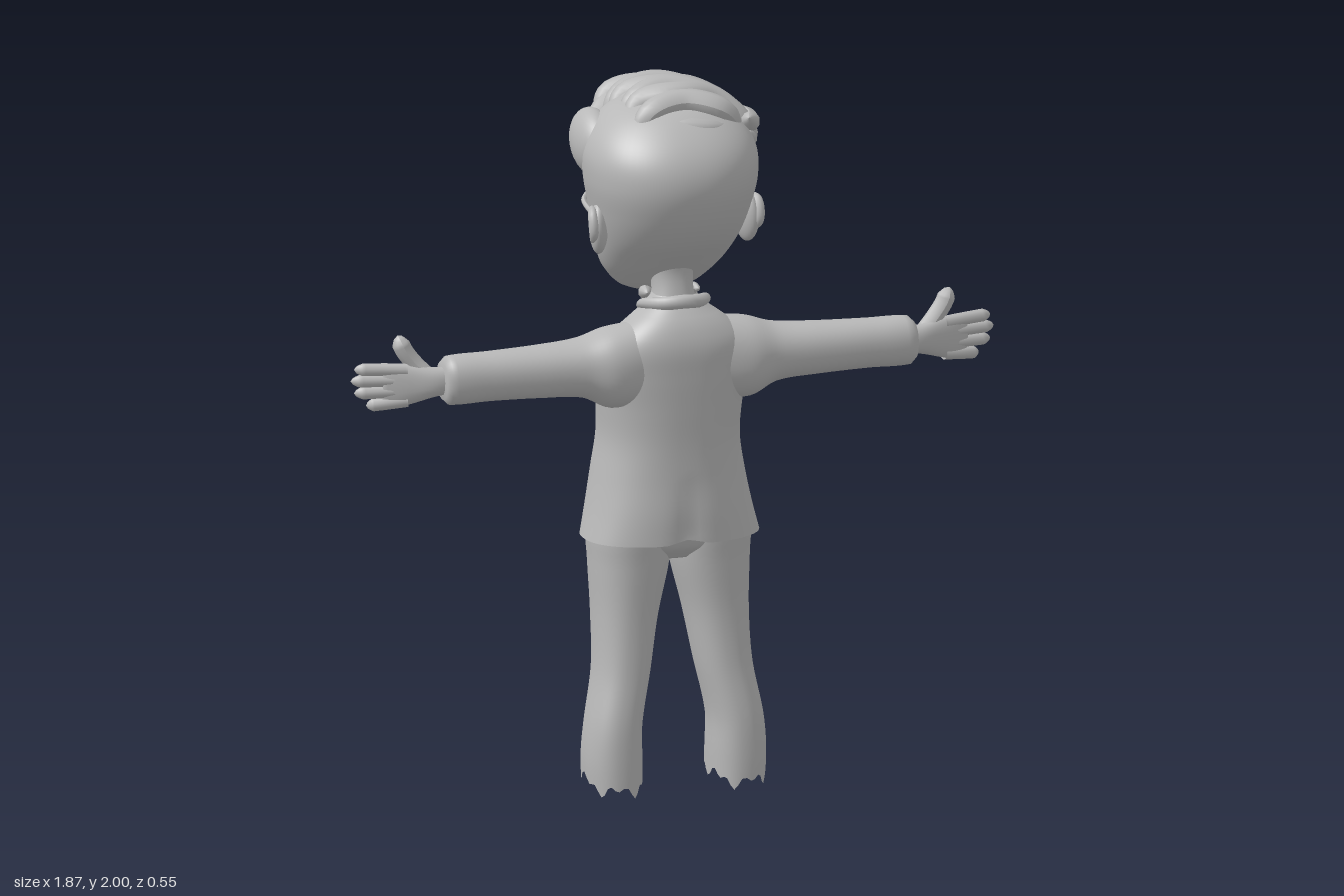
import * as THREE from 'three';

const grey = new THREE.MeshStandardMaterial({ color: 0xb8b8b8, side: THREE.DoubleSide });
grey.name = 'plain grey';

const V = (x, y, z) => new THREE.Vector3(x, y, z);
const bump = (d, w) => Math.exp(-(d * d) / (w * w));

// Smoothly interpolated cross-section bounds [a0, a1, b0, b1] at position t along the rows
function bounds(rows, t) {
  let i = 0;
  while (i < rows.length - 2 && t > rows[i + 1][0]) i++;
  const A = rows[i], B = rows[i + 1], h = B[0] - A[0];
  const u = THREE.MathUtils.clamp((t - A[0]) / h, 0, 1);
  const slope = (k, c) => {
    const p = rows[Math.max(k - 1, 0)], q = rows[Math.min(k + 1, rows.length - 1)];
    return (q[c] - p[c]) / (q[0] - p[0]) * h;
  };
  return [1, 2, 3, 4].map(c => {
    const u2 = u * u, u3 = u2 * u;
    return A[c] * (2 * u3 - 3 * u2 + 1) + slope(i, c) * (u3 - 2 * u2 + u)
      + B[c] * (3 * u2 - 2 * u3) + slope(i + 1, c) * (u3 - u2);
  });
}

// Surface through a grid of points; closed rows wrap round, caps fill the two ends
function skin(grid, closed = true, caps = []) {
  const n = grid[0].length, pos = [], idx = [];
  grid.flat().forEach(p => pos.push(p.x, p.y, p.z));
  for (let i = 0; i < grid.length - 1; i++)
    for (let j = 0; j < (closed ? n : n - 1); j++) {
      const a = i * n + j, b = i * n + (j + 1) % n;
      idx.push(a, a + n, b, b, a + n, b + n);
    }
  caps.forEach(end => {
    const r = end ? grid.length - 1 : 0, c = V(0, 0, 0), k = pos.length / 3;
    grid[r].forEach(p => c.addScaledVector(p, 1 / n));
    pos.push(c.x, c.y, c.z);
    for (let j = 0; j < n; j++) {
      const a = r * n + j, b = r * n + (j + 1) % n;
      idx.push(...(end ? [k, b, a] : [k, a, b]));
    }
  });
  if (closed) { // turn faces outward
    let vol = 0;
    const P = i => V(pos[3 * i], pos[3 * i + 1], pos[3 * i + 2]);
    for (let i = 0; i < idx.length; i += 3) vol += P(idx[i]).sub(P(0)).dot(P(idx[i + 1]).sub(P(0)).cross(P(idx[i + 2]).sub(P(0))));
    if (vol < 0) idx.reverse();
  }
  const g = new THREE.BufferGeometry();
  g.setAttribute('position', new THREE.Float32BufferAttribute(pos, 3));
  g.setIndex(idx);
  g.computeVertexNormals();
  return g;
}

const sp = (v, p) => Math.sign(v) * Math.abs(v) ** (2 / p);

// Loft of rounded sections; start(angle) shapes the first edge, rule(point) moves vertices
function loft(rows, { alongX = 0, n = 48, seg = 40, p = 2.2, start, rule, caps = [] } = {}) {
  const t0 = rows[0][0], t1 = rows[rows.length - 1][0], grid = [];
  for (let i = 0; i <= seg; i++) {
    grid.push(Array.from({ length: n }, (_, j) => {
      const a = j / n * Math.PI * 2, s = start ? start(a) : t0, t = s + (t1 - s) * i / seg;
      const [a0, a1, b0, b1] = bounds(rows, t);
      const A = (a0 + a1) / 2 + (a1 - a0) / 2 * sp(Math.cos(a), p);
      const B = (b0 + b1) / 2 + (b1 - b0) / 2 * sp(Math.sin(a), p);
      const v = alongX ? V(alongX * t, A, B) : V(A, t, B);
      if (rule) rule(v);
      return v;
    }));
  }
  return skin(grid, true, caps);
}

// Tube whose radius follows a profile along its length
function strand(pts, r, { profile = u => Math.sqrt(Math.sin(Math.PI * u) + 1e-4), closed = false, flat = 1, sides = 10, seg = 24 } = {}) {
  const curve = new THREE.CatmullRomCurve3(pts.map(q => V(...q)), closed);
  const g = new THREE.TubeGeometry(curve, seg, r, sides, closed), P = g.attributes.position;
  for (let i = 0; i <= seg; i++) {
    const c = curve.getPointAt(i / seg), k = closed ? 1 : profile(i / seg);
    for (let j = 0; j <= sides; j++) {
      const m = i * (sides + 1) + j, v = V(0, 0, 0).fromBufferAttribute(P, m).sub(c).multiplyScalar(k);
      v.y *= flat;
      v.add(c);
      P.setXYZ(m, v.x, v.y, v.z);
    }
  }
  g.computeVertexNormals();
  return g;
}
const finger = u => Math.min(1, Math.sqrt(Math.max(0, 1 - u) * 6 + 1e-4));
const even = () => 1;

export function createModel() {
  const root = new THREE.Group();
  root.name = 'standingFigure';
  const add = (name, g) => {
    const m = new THREE.Mesh(g, grey);
    m.name = name;
    root.add(m);
    return m;
  };
  const ball = (name, x, y, z, rx, ry, rz) => {
    const m = add(name, new THREE.SphereGeometry(1, 28, 20));
    m.position.set(x, y, z);
    m.scale.set(rx, ry, rz);
    return m;
  };

  // Jacket, cut away at the front hem
  const torso = [[0.72, -.25, .25, -.14, .195], [0.8, -.23, .23, -.16, .195], [0.9, -.21, .21, -.17, .19],
    [1, -.195, .195, -.165, .19], [1.1, -.2, .2, -.145, .195], [1.2, -.21, .21, -.1, .2],
    [1.28, -.2, .2, -.05, .2], [1.34, -.14, .14, -.01, .18], [1.38, -.085, .085, 0, .15], [1.41, -.06, .06, .01, .125]];
  add('jacket', loft(torso, {
    n: 72, p: 2.4,
    start: a => 0.72 + (Math.sin(a) < 0 ? 0.13 * bump(Math.cos(a), .32) : 0.012 * bump(Math.cos(a), .12)),
    rule: v => { if (v.z > .1) v.z -= .012 * bump(v.x, .03) * THREE.MathUtils.clamp((.92 - v.y) * 6, 0, 1); },
  }));
  const frontZ = (x, y) => {
    const [, a1, b0, b1] = bounds(torso, y);
    return (b0 + b1) / 2 - (b1 - b0) / 2 * Math.max(0, 1 - Math.abs(x / a1) ** 2.4) ** (1 / 2.4);
  };
  // Thin panel lying on the chest between two edge lines
  const panel = (name, y0, y1, inner, outer, lift) => add(name, skin(Array.from({ length: 17 }, (_, i) => {
    const u = i / 16, y = y0 + (y1 - y0) * u;
    return Array.from({ length: 7 }, (_, j) => {
      const x = inner(u) + (outer(u) - inner(u)) * j / 6;
      return V(x, y, frontZ(x, y) - lift * (j === 0 || j === 6 ? .4 : 1));
    });
  }), false));
  panel('shirtFront', 1, 1.37, u => -.075 * u, u => .075 * u, .004);
  panel('tie', 1.02, 1.31, u => -.03 + .016 * u, u => .03 - .016 * u, .014);
  ball('tieKnot', 0, 1.325, -.035, .022, .024, .018);
  for (const s of [1, -1]) {
    panel('lapel', .97, 1.36, u => s * (.004 + .066 * u), u => s * (.01 + .11 * Math.sin(Math.min(1, u * 1.25) * 1.57) - .035 * u * u), .012);
    add('lapelEdge', strand([0, .25, .5, .75, 1].map(u => {
      const x = s * (.004 + .066 * u), y = .97 + .39 * u;
      return [x, y, frontZ(x, y) - .008];
    }), .009));
    add('shirtCollar', strand([[s * .075, 1.41, .06], [s * .065, 1.4, .01], [s * .035, 1.365, -.025], [s * .045, 1.335, -.04]], .02));
    add('pocketFlap', strand([.09, .13, .17].map(x => [s * x, .86 + x * .1, frontZ(x, .87) - .002]), .013));
  }
  add('jacketCollar', strand([[-.085, 1.36, .01], [-.09, 1.385, .07], [-.05, 1.395, .13], [0, 1.4, .145],
    [.05, 1.395, .13], [.09, 1.385, .07], [.085, 1.36, .01]], .02));
  ball('button', 0, .93, frontZ(0, .93) - .004, .012, .012, .007);

  // Trousers
  add('trouserSeat', loft([[.66, -.1, .1, -.06, .1], [.7, -.19, .19, -.1, .14], [.78, -.21, .21, -.13, .16], [.92, -.19, .19, -.14, .16]], { caps: [0, 1] }));
  const leg = [[0, .1, .255, -.045, .165], [.1, .1, .26, -.042, .165], [.2, .1, .252, -.035, .16], [.35, .07, .226, -.05, .142],
    [.5, .043, .221, -.08, .135], [.65, .008, .226, -.105, .142], [.75, 0, .228, -.12, .15], [.88, .01, .19, -.12, .14]];
  for (const s of [1, -1]) {
    const rows = leg.map(([y, i, o, f, b]) => [y, Math.min(s * i, s * o), Math.max(s * i, s * o), f, b]);
    // Ragged open hem
    add('trouserLeg', loft(rows, {
      p: 2.3, caps: [1],
      start: a => .045 - .022 * Math.sin(a) + .012 * Math.sin(5 * a + s) + .011 * Math.sin(11 * a + 2 * s),
    }));
    const plug = ball('hemLining', s * .178, .1, .06, .07, .03, .092);
    plug.rotation.x = .2;
    for (let k = 0; k < 4; k++) {
      const q = k * 1.6;
      add('hemScrap', strand([0, 1.1, 2.2, 3.3].map((d, i) => [s * .178 + .055 * Math.cos(q + d), .06 + .015 * (i % 2), .06 + .08 * Math.sin(q + d)]), .01));
    }
  }

  // Sleeves and hands
  for (const s of [1, -1]) {
    add('sleeve', loft([[.08, 1.12, 1.345, .02, .175], [.2, 1.105, 1.33, -.01, .188], [.28, 1.14, 1.305, 0, .172], [.4, 1.15, 1.296, .015, .165],
      [.55, 1.155, 1.292, .03, .16], [.67, 1.155, 1.29, .04, .156], [.685, 1.17, 1.275, .05, .146]], { alongX: s, caps: [0, 1] }));
    add('palm', loft([[.66, 1.185, 1.26, .07, .125], [.71, 1.178, 1.262, .065, .122], [.77, 1.16, 1.272, .055, .105],
      [.82, 1.15, 1.275, .05, .09], [.85, 1.17, 1.262, .05, .08]], { alongX: s, caps: [0, 1], seg: 16, n: 24 }));
    [[.925, 1.262], [.935, 1.23], [.925, 1.195], [.89, 1.157]].forEach(([x, y], i) => {
      const b = 1.257 - i * .029;
      add('finger', strand([[s * .78, b, .08], [s * .84, (b + y) / 2, .067], [s * x, y, .05]], .0185, { profile: finger }));
    });
    add('thumb', strand([[s * .71, 1.225, .085], [s * .755, 1.27, .07], [s * .785, 1.31, .065], [s * .803, 1.352, .062]], .025, { profile: finger }));
  }

  // Neck and head
  add('neck', loft([[1.33, -.08, .08, 0, .13], [1.41, -.058, .058, 0, .11], [1.47, -.062, .062, -.02, .1], [1.53, -.08, .08, -.04, .11]], { seg: 12 }));
  add('head', loft([[1.383, -.05, .05, -.165, -.07], [1.4, -.1, .1, -.19, -.01], [1.45, -.15, .15, -.2, .06], [1.5, -.178, .178, -.2, .12],
    [1.57, -.2, .2, -.197, .195], [1.65, -.22, .22, -.195, .245], [1.74, -.238, .238, -.2, .27], [1.82, -.235, .235, -.2, .255],
    [1.89, -.195, .195, -.185, .2], [1.94, -.12, .12, -.13, .12], [1.955, -.04, .04, -.05, .04]], {
    n: 64, seg: 56, caps: [0, 1],
    rule: v => { // eye sockets and the crease below the lips
      if (v.z < -.05) v.z += .022 * bump(Math.abs(v.x) - .085, .055) * bump(v.y - 1.625, .045) + .012 * bump(v.x, .07) * bump(v.y - 1.445, .014);
    },
  }));
  ball('nose', 0, 1.545, -.197, .027, .024, .035);
  add('noseBridge', strand([[0, 1.66, -.188], [0, 1.6, -.2], [0, 1.545, -.208]], .02));
  add('mouth', strand([[-.05, 1.468, -.19], [0, 1.474, -.2], [.05, 1.468, -.19]], .011));
  for (const s of [1, -1]) {
    const ear = ball('ear', s * .215, 1.605, .055, .026, .072, .046);
    ear.rotation.y = s * .35;
    add('earRim', strand([[s * .225, 1.555, .04], [s * .24, 1.6, .09], [s * .24, 1.655, .075], [s * .225, 1.66, .025]], .014));
    ball('eye', s * .085, 1.625, -.158, .036, .03, .02);
    add('eyebrow', strand([[s * .03, 1.69, -.197], [s * .09, 1.708, -.192], [s * .15, 1.69, -.162]], .013));
    // Spectacles
    add('spectacleRim', strand([[.025, 1.665, -.222], [.09, 1.673, -.214], [.158, 1.668, -.18], [.163, 1.62, -.18],
      [.14, 1.572, -.192], [.09, 1.565, -.214], [.04, 1.575, -.224], [.024, 1.62, -.224]].map(([x, y, z]) => [s * x, y, z]), .0075, { closed: true, seg: 48, sides: 8 }));
    add('spectacleArm', strand([[s * .16, 1.65, -.18], [s * .208, 1.648, -.09], [s * .225, 1.64, .04]], .0075, { profile: even, sides: 8 }));
  }
  add('spectacleBridge', strand([[-.026, 1.638, -.223], [0, 1.645, -.23], [.026, 1.638, -.223]], .007, { profile: even, sides: 8 }));

  // Swept hair: a soft cap, overlapping waves combed to the left, and side tufts
  ball('hairCap', .035, 1.855, -.045, .198, .122, .2);
  [[-.225, 1.925, .2], [-.165, 1.94, .235], [-.1, 1.952, .25], [-.035, 1.96, .25], [.03, 1.962, .235], [.09, 1.95, .2]].forEach(([z, y, x], i) => {
    const w = i % 2 ? .012 : -.012;
    add('hairWave', strand([[-.13, y - .09, z + .02], [-.08, y - .015, z + w], [.02, y, z - w], [.12, y - .025, z + w],
      [x - .03, y - .085, z - w], [x + .01, y - .13 + w, z + .025]], .046, { flat: .8, sides: 12, seg: 32 }));
  });
  add('fringe', strand([[-.17, 1.8, -.16], [-.11, 1.87, -.21], [0, 1.9, -.23], [.1, 1.86, -.225], [.18, 1.8, -.175], [.235, 1.76, -.1]], .045, { seg: 32 }));
  add('fringeUnder', strand([[-.12, 1.79, -.185], [0, 1.82, -.205], [.1, 1.785, -.2], [.19, 1.745, -.135], [.235, 1.735, -.06]], .034, { seg: 32 }));
  [[1.86, -.1, .05], [1.81, -.12, .03], [1.77, -.14, -.02]].forEach(([y, z0, z1]) =>
    add('leftSideLock', strand([[.2, y + .02, z0], [.232, y + .005, (z0 + z1) / 2], [.225, y + .01, z1], [.2, y + .04, z1 + .07]], .032)));
  ball('rightSideTuft', -.185, 1.815, -.075, .06, .092, .115).rotation.x = .25;
  add('crownEdge', strand([[-.1, 1.9, .07], [-.02, 1.895, .14], [.07, 1.885, .155], [.16, 1.875, .11]], .032));
  return root;
}
